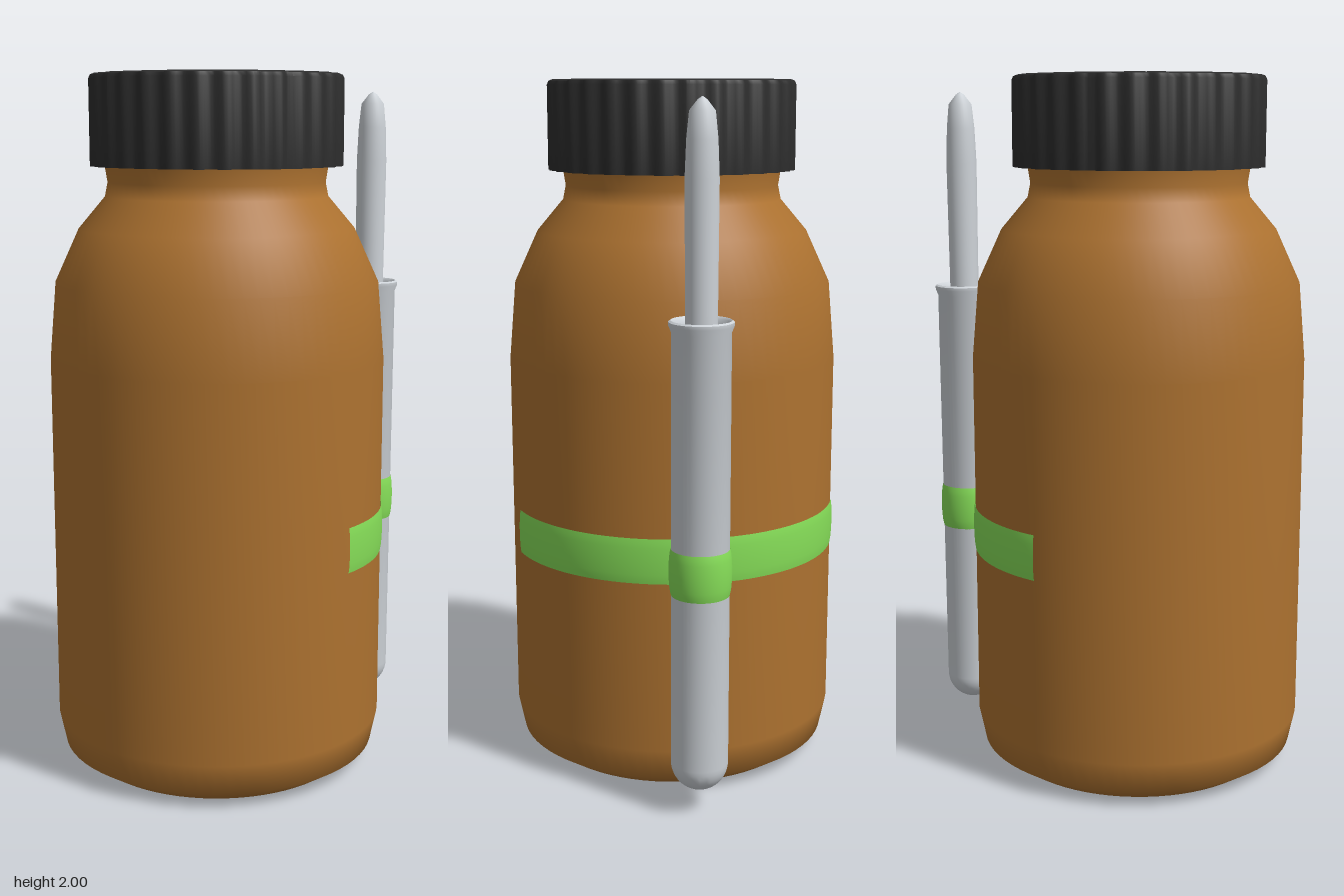
import * as THREE from 'three';
import { toCreasedNormals } from 'three/addons/utils/BufferGeometryUtils.js';

const amber = new THREE.MeshStandardMaterial({ color: 0xad7230 });
amber.name = 'amberBottle';
const black = new THREE.MeshStandardMaterial({ color: 0x2c2c2c });
black.name = 'blackCap';
const silver = new THREE.MeshStandardMaterial({ color: 0xcdd2d7 });
silver.name = 'silverGrey';
const green = new THREE.MeshStandardMaterial({ color: 0x86de58, side: THREE.DoubleSide });
green.name = 'greenBand';

const BOTTLE_X = -0.085;
const TUBE_X = 0.475;
const BAND = [0.635, 0.765];

function lathe(name, profile, material, segments = 64, start = 0, sweep = Math.PI * 2) {
  const points = profile.map(([r, y]) => new THREE.Vector2(r, y));
  const mesh = new THREE.Mesh(new THREE.LatheGeometry(points, segments, start, sweep), material);
  mesh.name = name;
  return mesh;
}

// Band cross-section, bulging slightly between its two edges
function bandProfile(edge, bulge) {
  const points = [];
  for (let i = 0; i <= 10; i++) {
    const t = i / 10;
    const lift = Math.pow(Math.sin(Math.PI * t), 0.6);
    points.push([edge + bulge * lift, THREE.MathUtils.lerp(BAND[0], BAND[1], t)]);
  }
  return points;
}

function createCap() {
  const cap = lathe('cap', [
    [0, 1.745], [0.354, 1.745], [0.354, 1.985], [0.349, 1.996], [0.338, 2], [0, 2],
  ], black, 240);
  // Push the rim in and out to form the grip ridges
  const pos = cap.geometry.attributes.position;
  for (let i = 0; i < pos.count; i++) {
    const x = pos.getX(i), z = pos.getZ(i), r = Math.hypot(x, z);
    if (r < 0.3) continue;
    const k = 1 + (0.006 * Math.cos(30 * Math.atan2(z, x))) / r;
    pos.setX(i, x * k);
    pos.setZ(i, z * k);
  }
  cap.geometry = toCreasedNormals(cap.geometry, 0.6);
  return cap;
}

function createTube() {
  const tube = new THREE.Group();
  tube.name = 'swabTube';
  // Round-bottomed outer wall, lip, then the inner wall back down
  const wall = [];
  for (let i = 0; i <= 10; i++) {
    const a = (i / 10) * Math.PI / 2;
    wall.push([0.08 * Math.sin(a), 0.145 - 0.08 * Math.cos(a)]);
  }
  wall.push([0.08, 1.355], [0.087, 1.372], [0.087, 1.382], [0.081, 1.386],
    [0.074, 1.38], [0.068, 1.355], [0.066, 0.15], [0, 0.1]);
  const shell = lathe('tubeShell', wall, silver, 48);
  shell.geometry = toCreasedNormals(shell.geometry, 0.9);

  // Tapered swab standing in the tube
  const swab = lathe('swab', [
    [0.043, 0.12], [0.043, 1.4], [0.045, 1.75], [0.041, 1.85],
    [0.034, 1.92], [0.012, 1.948], [0, 1.956],
  ], silver, 32);
  tube.add(shell, swab);
  tube.position.x = TUBE_X;
  tube.rotation.z = -0.005;
  return tube;
}

export function createModel() {
  const model = new THREE.Group();
  model.name = 'bottleWithSwab';

  // Bottle with its cap and the strap around the tube side
  const bottle = new THREE.Group();
  bottle.name = 'bottle';
  bottle.position.x = BOTTLE_X;
  const body = lathe('bottleBody', [
    [0, 0], [0.395, 0], [0.463, 0.045], [0.482, 0.135], [0.482, 1.2], [0.463, 1.42],
    [0.394, 1.57], [0.318, 1.66], [0.31, 1.7], [0.318, 1.75],
  ], amber, 72);
  const arc = THREE.MathUtils.degToRad(75);
  const strap = lathe('strap', bandProfile(0.4835, 0.004), green, 48, Math.PI / 2 - arc, arc * 2);
  bottle.add(body, createCap(), strap);

  // Loop that holds the tube
  const loop = lathe('tubeLoop', bandProfile(0.0805, 0.006), green, 40);
  loop.position.x = TUBE_X + 0.004;

  model.add(bottle, createTube(), loop);
  return model;
}
